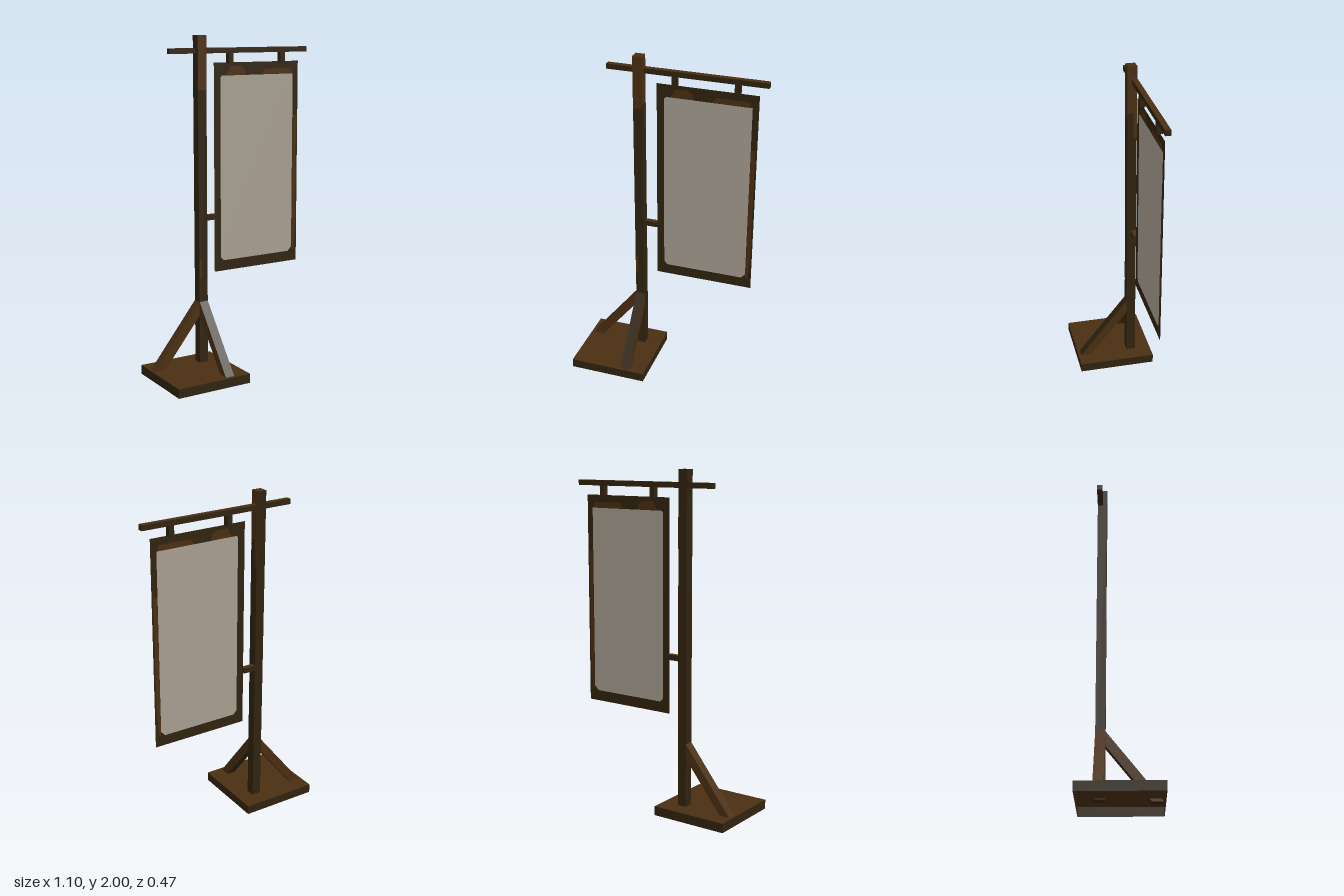
import * as THREE from 'three';

export function createModel() {
  const group = new THREE.Group();
  const mat = (name, color) => {
    const m = new THREE.MeshStandardMaterial({ color, side: THREE.DoubleSide });
    m.name = name;
    return m;
  };
  const wood = mat('brown wood', 0x4a2e11);
  const dark = mat('dark wood', 0x30230f);
  const canvas = mat('pale canvas', 0xa69d90);

  const add = (name, geometry, material) => {
    const mesh = new THREE.Mesh(geometry, material);
    mesh.name = name;
    group.add(mesh);
    return mesh;
  };
  // Box given by its limits; the top face can differ from the other faces
  const bar = (name, [x0, x1], [y0, y1], [z0, z1], side, top = side) => {
    const g = new THREE.BoxGeometry(x1 - x0, y1 - y0, z1 - z0);
    g.translate((x0 + x1) / 2, (y0 + y1) / 2, (z0 + z1) / 2);
    return add(name, g, side === top ? side : [side, side, top, side, side, side]);
  };
  const trace = (Type, points) => new Type(points.map(([x, y]) => new THREE.Vector2(x, y)));

  // Base: a shallow square tray, open underneath
  const size = 0.472, baseX = -0.315, baseTop = 0.055;
  const walls = new THREE.CylinderGeometry(size / Math.SQRT2, size / Math.SQRT2, baseTop, 4, 1, true)
    .rotateY(Math.PI / 4).toNonIndexed();
  walls.computeVertexNormals();
  add('baseWalls', walls, dark).position.set(baseX, baseTop / 2, 0);
  add('baseTop', new THREE.PlaneGeometry(size, size).rotateX(-Math.PI / 2), wood)
    .position.set(baseX, baseTop, 0);

  // Post, with lighter worn faces near the top
  const px = [-0.233, -0.177], pz = [-0.139, -0.083];
  bar('post', px, [0.05, 2], pz, dark, wood);
  bar('postFrontWear', px, [1.69, 1.999], [pz[1], pz[1] + 0.001], wood);
  bar('postFrontLowerWear', [-0.233, -0.216], [0.58, 0.7], [pz[1], pz[1] + 0.001], wood);
  bar('postSideWear', [px[1], px[1] + 0.001], [1.72, 1.999], pz, wood);
  bar('postSideLowerWear', [px[1], px[1] + 0.001], [1.56, 1.72], [-0.139, -0.118], wood);

  // Diagonal braces, one to the side and one to the front
  const profile = trace(THREE.Shape, [[0, 0.35], [0.247, 0.04], [0.312, 0.04], [0, 0.435]]);
  const braceGeo = new THREE.ExtrudeGeometry(profile, { depth: 0.056, bevelEnabled: false });
  const sideBrace = add('sideBrace', braceGeo, wood);
  sideBrace.rotation.y = Math.PI;
  sideBrace.position.set(px[0], 0, pz[1]);
  const frontBrace = add('frontBrace', braceGeo, [wood, dark]);
  frontBrace.rotation.y = -Math.PI / 2;
  frontBrace.position.set(px[1], 0, pz[1]);

  // Crossbeam, hangers and lower arm
  const bz = [-0.139, -0.107];
  bar('crossbeam', [-0.4, 0.546], [1.897, 1.928], bz, dark, wood);
  for (const x of [0.005, 0.369])
    bar('hanger', [x - 0.016, x + 0.016], [1.835, 1.9], bz, dark);
  bar('lowerArm', [px[1], -0.1], [0.918, 0.95], bz, dark, wood);

  // Hanging sign: thin frame around a canvas with clipped lower corners
  const signZ = -0.123;
  const inner = [[-0.06, 0.68], [-0.04, 0.657], [0.43, 0.657], [0.455, 0.685],
    [0.455, 1.766], [-0.05, 1.766], [-0.06, 1.755]];
  const frame = trace(THREE.Shape, [[-0.104, 0.594], [0.492, 0.594], [0.492, 1.842], [-0.104, 1.842]]);
  frame.holes.push(trace(THREE.Path, inner));
  add('signFrame', new THREE.ShapeGeometry(frame), dark).position.z = signZ;
  add('signCanvas', new THREE.ShapeGeometry(trace(THREE.Shape, inner)), canvas).position.z = signZ;

  // Lighter worn patches on both sides of the frame
  const wear = [
    [[-0.02, 1.767], [0.115, 1.767], [0.11, 1.8], [0.08, 1.82], [0.01, 1.82]],
    [[0.22, 1.767], [0.45, 1.767], [0.44, 1.8], [0.25, 1.8]],
    [[0.457, 0.66], [0.47, 0.66], [0.482, 0.85], [0.482, 1.51], [0.457, 1.51]],
  ];
  for (const points of wear)
    for (const dz of [-0.002, 0.002])
      add('frameWear', new THREE.ShapeGeometry(trace(THREE.Shape, points)), wood).position.z = signZ + dz;

  return group;
}
